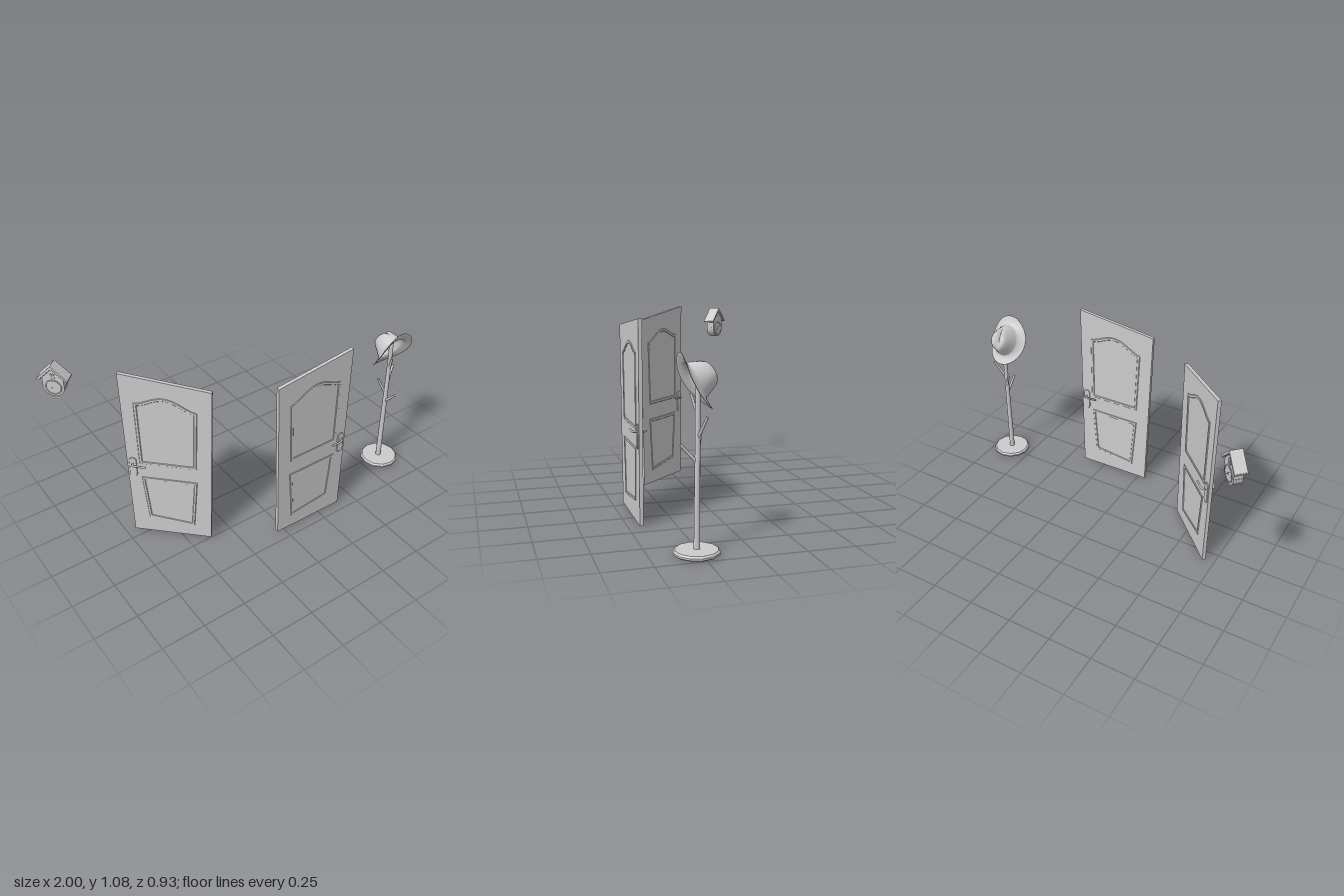
import * as THREE from 'three';

const mat = new THREE.MeshStandardMaterial({ color: 0xcccccc, side: THREE.DoubleSide });
const flat = new THREE.MeshStandardMaterial({ color: 0xcccccc, side: THREE.DoubleSide, flatShading: true });

function add(parent, name, geo, x = 0, y = 0, z = 0, m = flat) {
  const mesh = new THREE.Mesh(geo, m);
  mesh.name = name;
  mesh.position.set(x, y, z);
  parent.add(mesh);
  return mesh;
}

function group(parent, name, x = 0, y = 0, z = 0, turn = 0) {
  const g = new THREE.Group();
  g.name = name;
  g.position.set(x, y, z);
  g.rotation.y = turn;
  parent.add(g);
  return g;
}

const poly = (pts) => new THREE.Shape(pts.map(([x, y]) => new THREE.Vector2(x, y)));
const V = (x, y, z) => new THREE.Vector3(x, y, z);

function slab(shape, depth, bevel = 0) {
  const geo = new THREE.ExtrudeGeometry(shape, {
    depth: depth - 2 * bevel, bevelEnabled: bevel > 0, bevelThickness: bevel,
    bevelSize: bevel, bevelOffset: -bevel, bevelSegments: 1, curveSegments: 12,
  });
  return geo.translate(0, 0, -(depth - 2 * bevel) / 2);
}

// Round bar between two points
function rod(parent, name, a, b, r0, r1) {
  const geo = new THREE.CylinderGeometry(r1, r0, a.distanceTo(b), 10);
  const mid = a.clone().add(b).multiplyScalar(0.5);
  const mesh = add(parent, name, geo, mid.x, mid.y, mid.z, mat);
  mesh.quaternion.setFromUnitVectors(V(0, 1, 0), b.clone().sub(a).normalize());
}

// Bead that follows a panel outline: the outline with a smaller copy cut out
function bead(pts, inset) {
  const box = new THREE.Box2().setFromPoints(pts.map(([x, y]) => new THREE.Vector2(x, y)));
  const c = box.getCenter(new THREE.Vector2()), s = box.getSize(new THREE.Vector2());
  const shape = poly(pts);
  shape.holes.push(poly(pts.map(([x, y]) => [
    c.x + (x - c.x) * (1 - 2 * inset / s.x), c.y + (y - c.y) * (1 - 2 * inset / s.y)])));
  return slab(shape, 0.026, 0.003);
}

// Crooked door, with the handle on its tall edge
function door(parent, name, x, z, turn) {
  const g = group(parent, name, x, 0, z, turn);
  add(g, 'doorLeaf', slab(poly([[-0.218, 0.005], [0.228, 0], [0.243, 1.08], [-0.243, 1.018]]), 0.02));

  const upper = [[-0.148, 0.5], [0.166, 0.5], [0.172, 0.905]];
  for (let i = 1; i <= 14; i++) {
    const t = i / 14;
    upper.push([0.172 - 0.335 * t, 0.905 - 0.025 * t + 0.06 * Math.sin(Math.PI * t) ** 1.6]);
  }
  add(g, 'upperPanelBead', bead(upper, 0.018));
  add(g, 'lowerPanelBead', bead([[-0.125, 0.082], [0.135, 0.112], [0.16, 0.407], [-0.15, 0.407]], 0.018));

  // Long plate with round ends
  const plate = new THREE.Shape();
  plate.absarc(0.203, 0.518, 0.021, 0, Math.PI);
  plate.absarc(0.203, 0.428, 0.021, Math.PI, 2 * Math.PI);
  add(g, 'handlePlate', slab(plate, 0.03, 0.002));
  for (const s of [1, -1]) {
    const path = new THREE.CatmullRomCurve3([
      V(0.203, 0.498, s * 0.012), V(0.202, 0.498, s * 0.029), V(0.19, 0.498, s * 0.036),
      V(0.165, 0.498, s * 0.037), V(0.13, 0.498, s * 0.036)]);
    add(g, 'handleLever', new THREE.TubeGeometry(path, 16, 0.0055, 8), 0, 0, 0, mat);
    add(g, 'leverTip', new THREE.SphereGeometry(0.0055, 8, 6), 0.13, 0.498, s * 0.036, mat);
  }
}

// Felt hat: a lathe stretched along z, with a bent brim and a creased crown
function hat(parent) {
  const g = group(parent, 'hat', 0.868, 0.822, 0.27);
  g.rotation.x = -1.06;
  const profile = [[0.001, 0.097], [0.018, 0.098], [0.036, 0.096], [0.048, 0.088], [0.056, 0.07],
    [0.064, 0.04], [0.073, 0.008], [0.08, 0], [0.094, 0], [0.108, 0.001], [0.12, 0.004],
    [0.121, 0.001], [0.108, -0.003], [0.08, -0.004]];
  const geo = new THREE.LatheGeometry(profile.map(([r, h]) => new THREE.Vector2(r, h)), 40);
  const p = geo.attributes.position;
  for (let i = 0; i < p.count; i++) {
    let x = p.getX(i), y = p.getY(i), z = p.getZ(i);
    const r = Math.hypot(x, z), side = (x / r) ** 2;
    if (r > 0.073) y -= 0.036 * side * Math.min(1, (r - 0.073) / 0.045);
    const high = Math.max(0, (y - 0.03) / 0.068);
    if (high > 0) {
      y -= 0.024 * high * Math.exp(-((x / 0.018) ** 2));
      x *= 1 - 0.3 * high * Math.max(0, z / 0.05);
    }
    p.setXYZ(i, x, y, z * 1.26);
  }
  geo.computeVertexNormals();
  add(g, 'hatFelt', geo, 0, 0, 0, mat);
  const band = add(g, 'hatBand', new THREE.CylinderGeometry(0.0685, 0.0745, 0.02, 40, 1, true), 0, 0.017, 0, mat);
  band.scale.z = 1.26;
}

function hatStand(parent) {
  const g = group(parent, 'hatStand');
  const foot = [[0, 0], [0.108, 0], [0.115, 0.006], [0.115, 0.015], [0.106, 0.024], [0, 0.025]];
  add(g, 'standBase', new THREE.LatheGeometry(foot.map(([r, h]) => new THREE.Vector2(r, h)), 12), 0.885, 0, 0.27);
  rod(g, 'standPole', V(0.882, 0.02, 0.268), V(0.882, 0.88, 0.262), 0.016, 0.011);
  const pegs = [
    [V(0.882, 0.445, 0.27), V(0.88, 0.53, 0.346)],
    [V(0.882, 0.49, 0.262), V(0.838, 0.6, 0.232)],
    [V(0.885, 0.56, 0.262), V(0.945, 0.665, 0.235)],
    [V(0.882, 0.665, 0.265), V(0.868, 0.765, 0.293)],
    [V(0.882, 0.78, 0.262), V(0.875, 0.86, 0.21)],
  ];
  for (const [a, b] of pegs) rod(g, 'standPeg', a, b, 0.008, 0.0065);
}

// Small two-faced house clock
function houseClock(parent) {
  const g = group(parent, 'houseClock', -0.915, 0, -0.38, Math.PI * 0.75);
  const body = poly([[0.058, 0.925], [0.058, 0.98], [0, 1.04], [-0.058, 0.98], [-0.058, 0.925]]);
  body.absarc(0, 0.925, 0.06, Math.PI, 2 * Math.PI);
  add(g, 'clockBody', slab(body, 0.05));

  // Roof slopes with curled eaves and scalloped verges
  for (const s of [1, -1]) {
    const slope = poly([[0, 1.054], [s * 0.081, 0.975], [s * 0.081, 0.964], [s * 0.072, 0.968], [0, 1.038]]);
    add(g, 'roofSlope', slab(slope, 0.068));
    add(g, 'curledEave', new THREE.CylinderGeometry(0.006, 0.006, 0.068, 8).rotateX(Math.PI / 2), s * 0.08, 0.969, 0);
    for (const f of [1, -1]) {
      for (let i = 0; i < 6; i++) {
        add(g, 'scallop', new THREE.CylinderGeometry(0.007, 0.007, 0.006, 8).rotateX(Math.PI / 2),
          s * (0.006 + i * 0.0125), 1.034 - i * 0.0122, f * 0.029);
      }
    }
  }

  for (const f of [1, -1]) {
    add(g, 'dialRim', new THREE.TorusGeometry(0.042, 0.004, 6, 28), 0, 0.92, f * 0.025, mat);
    add(g, 'dial', new THREE.CylinderGeometry(0.04, 0.04, 0.003, 28).rotateX(Math.PI / 2), 0, 0.92, f * 0.025);
    add(g, 'handPivot', new THREE.CylinderGeometry(0.004, 0.004, 0.004, 10).rotateX(Math.PI / 2), 0, 0.92, f * 0.028);
    [[0.024, 2.2], [0.016, -0.5]].forEach(([len, a]) => {
      const hand = add(g, 'clockHand', new THREE.BoxGeometry(0.0025, len, 0.002).translate(0, len / 2, 0), 0, 0.92, f * 0.028);
      hand.rotation.z = a * f;
    });
    for (const s of [1, -1]) {
      add(g, 'birdDoor', new THREE.BoxGeometry(0.011, 0.026, 0.004), s * 0.007, 0.99, f * 0.026);
    }
  }
}

export function createModel() {
  const model = new THREE.Group();
  model.name = 'crookedDoorSet';
  door(model, 'frontDoor', 0.172, 0.427, 0);
  door(model, 'angledDoor', -0.527, 0.092, Math.PI * 0.75);
  hatStand(model);
  hat(model);
  houseClock(model);
  return model;
}
